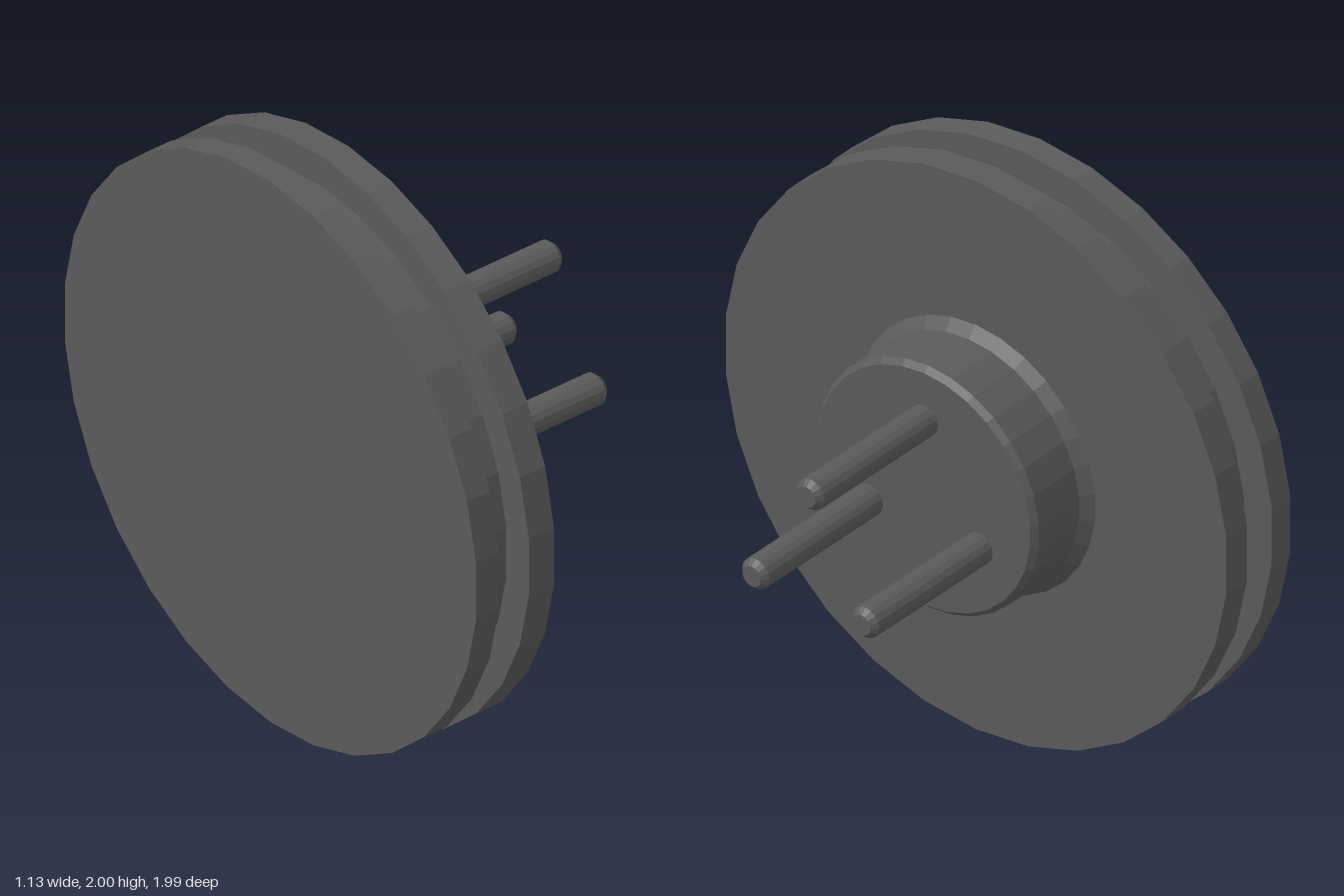
import * as THREE from 'three';

// Solid of revolution about the x axis; profile is [x, radius] from left to right
function turned(name, profile, sides, material) {
  const points = profile.map(([x, r]) => new THREE.Vector2(r, x));
  const geometry = new THREE.LatheGeometry(points, sides, Math.PI / 2);
  geometry.rotateZ(-Math.PI / 2);
  const mesh = new THREE.Mesh(geometry, material);
  mesh.name = name;
  return mesh;
}

export function createModel() {
  const group = new THREE.Group();
  group.name = 'groovedWheel';
  const metal = new THREE.MeshStandardMaterial({ color: 0x5a5a5a, flatShading: true });
  metal.name = 'dark grey metal';

  const assembly = new THREE.Group();
  assembly.name = 'wheelAssembly';
  assembly.position.y = 1;
  group.add(assembly);

  // Wide disc with a square groove around its rim
  assembly.add(turned('groovedDisc', [
    [-0.565, 0], [-0.565, 1], [-0.475, 1], [-0.475, 0.89],
    [-0.355, 0.89], [-0.355, 1], [-0.255, 1], [-0.255, 0],
  ], 30, metal));

  // Hub with a flared foot and a chamfered front edge
  assembly.add(turned('hub', [
    [-0.26, 0.475], [-0.255, 0.475], [-0.22, 0.44],
    [-0.025, 0.44], [-0.005, 0.422], [-0.005, 0],
  ], 30, metal));

  // Three evenly spaced pins with chamfered tips
  for (let i = 0; i < 3; i++) {
    const angle = Math.PI / 2 + (i * Math.PI * 2) / 3;
    const pin = turned('pin' + (i + 1), [
      [-0.02, 0.054], [0.545, 0.054], [0.565, 0.036], [0.565, 0],
    ], 16, metal);
    pin.position.set(0, 0.252 * Math.sin(angle), 0.252 * Math.cos(angle));
    assembly.add(pin);
  }
  return group;
}
